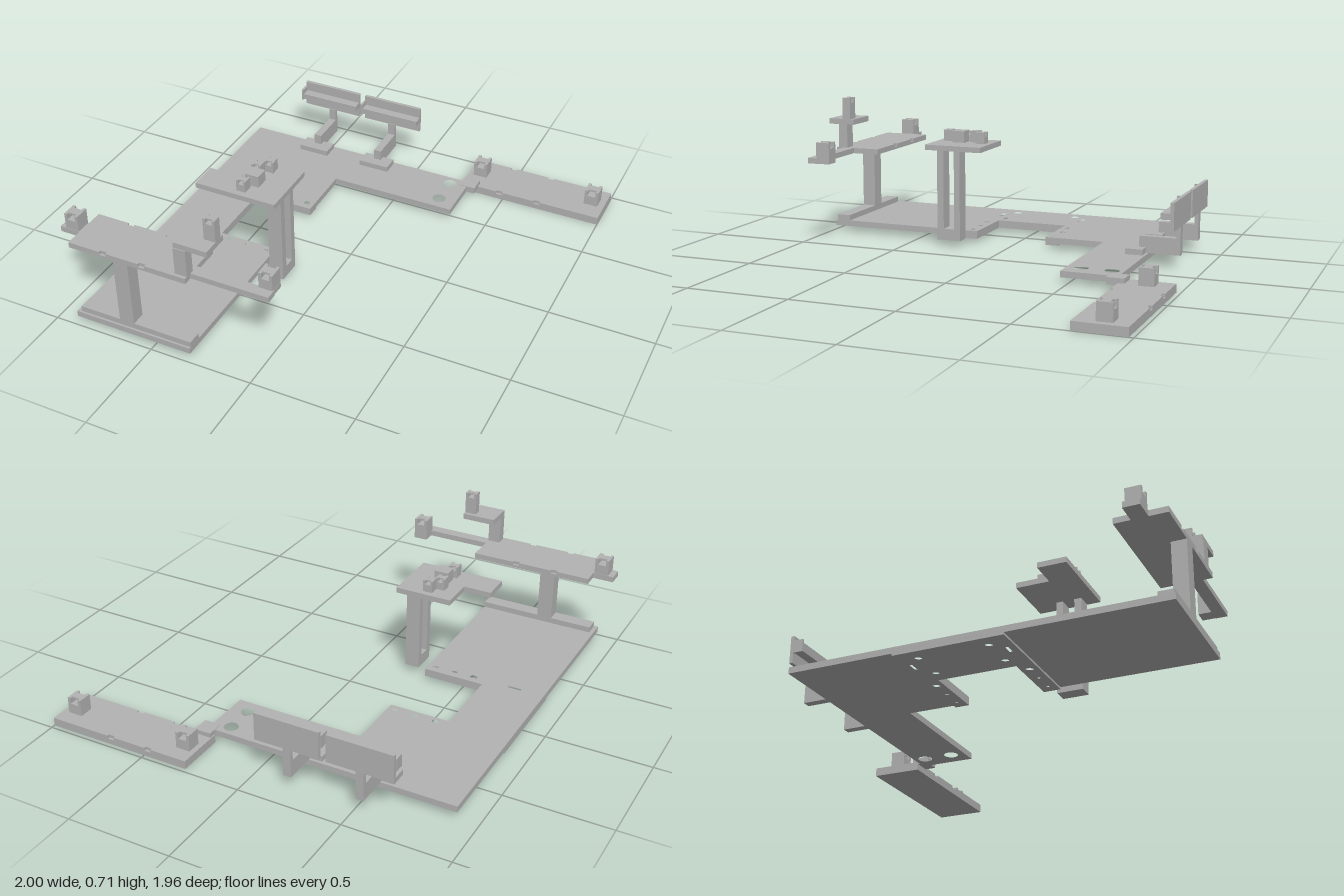
import * as THREE from 'three';

const grey = new THREE.MeshStandardMaterial({ color: 0xb3b3b3 });
grey.name = 'grey';

export function createModel() {
  const model = new THREE.Group();
  model.name = 'bracketAssembly';

  const add = (name, geometry, parent = model) => {
    const mesh = new THREE.Mesh(geometry, grey);
    mesh.name = name;
    parent.add(mesh);
    return mesh;
  };

  // Box given by its limits on each axis
  const box = (name, x0, x1, y0, y1, z0, z1, parent) =>
    add(name, new THREE.BoxGeometry(x1 - x0, y1 - y0, z1 - z0)
      .translate((x0 + x1) / 2, (y0 + y1) / 2, (z0 + z1) / 2), parent);

  // Flat plate from an outline of [x, z] points, with holes
  const plate = (name, points, y0, y1, holes = []) => {
    const shape = new THREE.Shape(points.map(([x, z]) => new THREE.Vector2(x, -z)));
    shape.holes.push(...holes);
    const geometry = new THREE.ExtrudeGeometry(shape, { depth: y1 - y0, bevelEnabled: false, curveSegments: 16 });
    return add(name, geometry.rotateX(-Math.PI / 2).translate(0, y0, 0));
  };

  const roundHole = (x, z, r) => new THREE.Path().absarc(x, -z, r, 0, Math.PI * 2, true);
  const slotHole = (x, z, w, d) => new THREE.Path([
    [x - w, -z - d], [x - w, -z + d], [x + w, -z + d], [x + w, -z - d],
  ].map(([a, b]) => new THREE.Vector2(a, b)));

  // Plate with shallow notches along both long edges of its top
  const notchedPlate = (name, x0, x1, y0, y1, z0, z1, notches) => {
    const middle = y1 - 0.015, w = 0.016, d = 0.012;
    box(name + 'Lower', x0, x1, y0, middle, z0, z1);
    const edge = (z, s) => notches.flatMap((x) =>
      [[x - w, z], [x - w, z + s * d], [x + w, z + s * d], [x + w, z]]);
    plate(name + 'Upper', [[x0, z0], ...edge(z0, 1), [x1, z0], [x1, z1],
      ...edge(z1, -1).reverse(), [x0, z1]], middle, y1);
  };

  // Clip: block with a channel across its top, closed by a small bridge
  const clip = (name, x, y, z, w, h, d) => {
    const group = new THREE.Group();
    group.name = name;
    group.position.set(x, y, z);
    model.add(group);
    const a = w / 2, n = w * 0.29, floor = h - w * 0.43;
    const profile = new THREE.Shape([
      [-a, 0], [a, 0], [a, h], [n, h], [n, floor], [-n, floor], [-n, h], [-a, h],
    ].map(([px, py]) => new THREE.Vector2(px, py)));
    add('clipBody', new THREE.ExtrudeGeometry(profile, { depth: d, bevelEnabled: false })
      .translate(0, 0, -d / 2), group);
    box('clipBridge', -n, n, h - w * 0.14, h, -d * 0.28, d * 0.28, group);
  };

  // Base plate with a notch in its right edge, and the joining plate below it
  const smallHoles = [];
  for (const [zIn, zOut] of [[-0.155, -0.215], [0.165, 0.222]]) {
    for (const x of [-0.825, -0.665]) smallHoles.push(roundHole(x, zIn, 0.02));
    smallHoles.push(slotHole(-0.755, zOut, 0.033, 0.011));
    smallHoles.push(roundHole(-0.545, zOut, 0.021));
    for (const x of [-0.447, -0.348]) smallHoles.push(roundHole(x, zOut, 0.015));
  }
  const bigHoles = [-0.68, -0.538].map((z) => roundHole(0.235, z, 0.034));
  const notch = [[-0.31, -0.175], [-0.605, -0.175], [-0.605, 0.187], [-0.31, 0.187]];
  plate('basePlate', [[-0.9, -0.735], [0.322, -0.735], [0.322, -0.47], [-0.31, -0.47],
    ...notch, [-0.31, 0.978], [-0.9, 0.978]], 0.03, 0.059, [...smallHoles, ...bigHoles]);
  plate('joiningPlate', [[-0.9, -0.24], [-0.31, -0.24], ...notch, [-0.31, 0.265], [-0.9, 0.265]],
    0.02, 0.03, smallHoles);

  // Side plate on the left, joined at one corner
  box('cornerConnector', 0.285, 0.365, 0.03, 0.062, -0.775, -0.692);
  notchedPlate('sidePlate', 0.28, 1, 0, 0.04, -0.98, -0.745, [0.48, 0.68]);
  for (const x of [0.34, 0.933]) clip('sideClip', x, 0.04, -0.873, 0.07, 0.08, 0.07);

  // Two rear panels on cranked brackets
  for (const x of [-0.525, -0.178]) {
    const group = new THREE.Group();
    group.name = 'rearBracket';
    group.position.x = x;
    model.add(group);
    box('bracketFoot', -0.078, 0.078, 0.059, 0.086, -0.722, -0.64, group);
    box('bracketArm', -0.019, 0.019, 0.059, 0.138, -0.885, -0.69, group);
    box('bracketStem', -0.019, 0.019, 0.138, 0.2, -0.885, -0.866, group);
    box('panel', -0.157, 0.157, 0.197, 0.33, -0.887, -0.87, group);
    box('panelLedge', -0.157, 0.157, 0.25, 0.28, -0.87, -0.825, group);
    box('panelEndCap', -0.16, -0.15, 0.245, 0.305, -0.87, -0.822, group);
  }

  // Raised platform on a narrow upright frame
  box('frameFrontPost', -0.255, -0.185, 0.03, 0.474, 0.312, 0.346);
  box('frameRearPost', -0.255, -0.185, 0.03, 0.474, 0.226, 0.257);
  box('frameCrossPiece', -0.255, -0.185, 0.03, 0.086, 0.257, 0.312);
  plate('platform', [[-0.455, 0.117], [-0.182, 0.117], [-0.182, 0.41], [-0.588, 0.41],
    [-0.588, 0.275], [-0.455, 0.275]], 0.474, 0.5);
  box('platformBlock', -0.378, -0.31, 0.5, 0.557, 0.255, 0.32);
  for (const [x, z] of [[-0.368, 0.357], [-0.368, 0.216], [-0.328, 0.168]]) {
    clip('platformClip', x, 0.5, z, 0.046, 0.056, 0.047);
  }

  // Front shelf on a post
  box('footBar', -0.88, -0.31, 0.059, 0.087, 0.9, 0.968);
  box('shelfPost', -0.674, -0.6, 0.087, 0.413, 0.9, 0.968);
  notchedPlate('shelf', -0.9, -0.31, 0.413, 0.44, 0.735, 0.968, [-0.725, -0.528]);
  box('shelfTab', -1, -0.9, 0.413, 0.44, 0.81, 0.884);
  clip('shelfTabClip', -0.938, 0.44, 0.847, 0.068, 0.077, 0.07);
  box('shelfArm', -0.31, 0.065, 0.413, 0.44, 0.87, 0.925);
  box('armEnd', -0.005, 0.062, 0.413, 0.44, 0.81, 0.87);
  clip('armClip', 0.028, 0.44, 0.845, 0.066, 0.077, 0.07);

  // Stepped upright with the highest clip
  box('upright', -0.368, -0.308, 0.44, 0.575, 0.905, 0.953);
  box('uprightTop', -0.368, -0.205, 0.575, 0.602, 0.812, 0.949);
  clip('uprightClip', -0.233, 0.602, 0.853, 0.056, 0.107, 0.042);

  return model;
}
